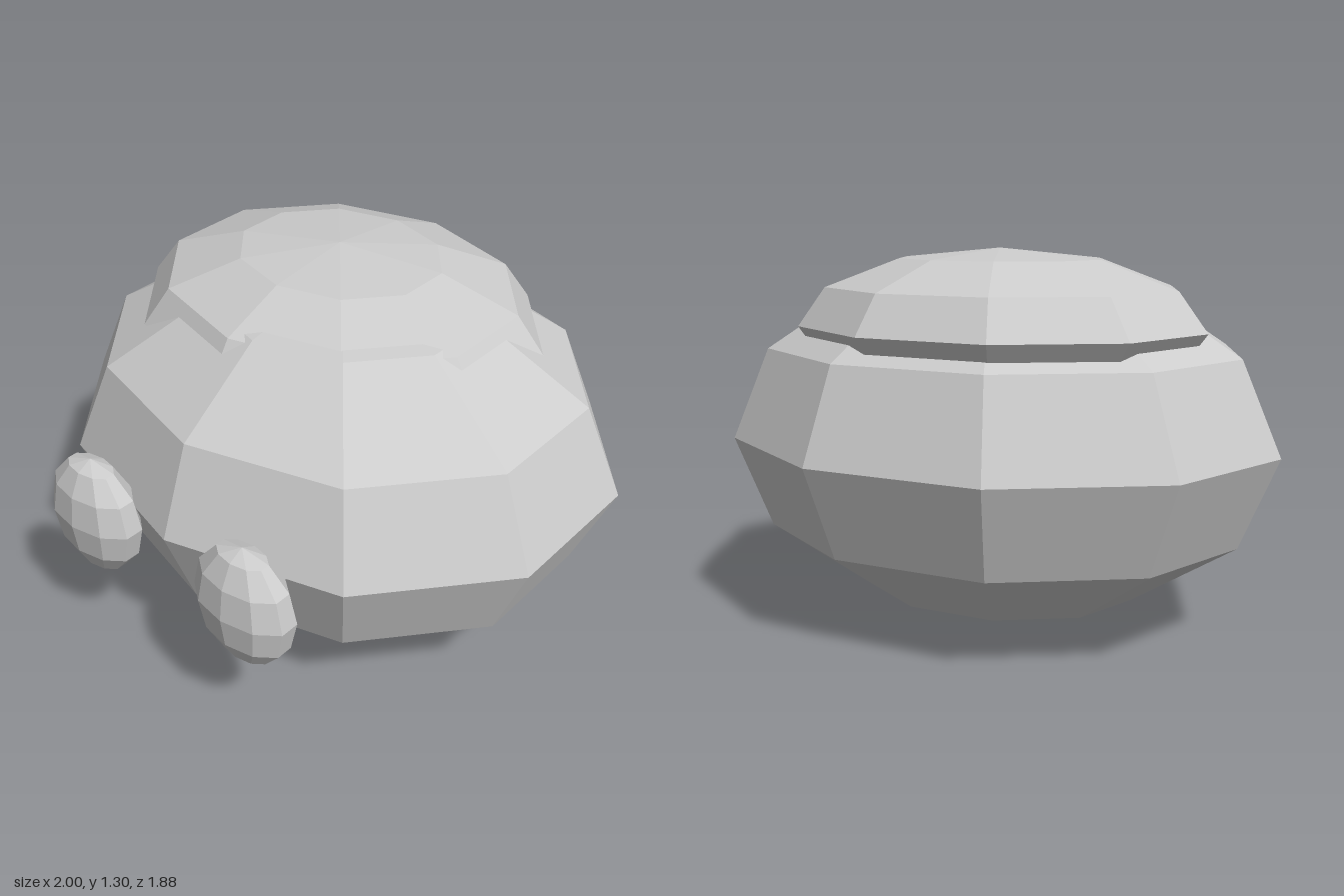
import * as THREE from 'three';

export function createModel() {
  const model = new THREE.Group();
  model.name = 'roundHead';
  const grey = new THREE.MeshStandardMaterial({ color: 0xcccccc, flatShading: true });
  grey.name = 'plain grey';

  // Ten-sided faceted ball with a corner facing the front
  const ball = new THREE.SphereGeometry(1, 10, 6, Math.PI / 2);
  function addBall(name, radii, position) {
    const mesh = new THREE.Mesh(ball, grey);
    mesh.name = name;
    mesh.scale.set(...radii);
    mesh.position.set(...position);
    model.add(mesh);
  }

  // Squashed head
  addBall('head', [1.051, 0.635, 0.89], [0, 0.635, -0.05]);

  // Flat cap set slightly back and to one side
  addBall('cap', [0.77, 0.265, 0.65], [-0.085, 1.04, -0.14]);

  // Pair of bulging eyes
  for (const [name, side] of [['leftEye', 1], ['rightEye', -1]]) {
    addBall(name, [0.2, 0.225, 0.11], [side * 0.35, 0.565, 0.83]);
  }
  return model;
}
